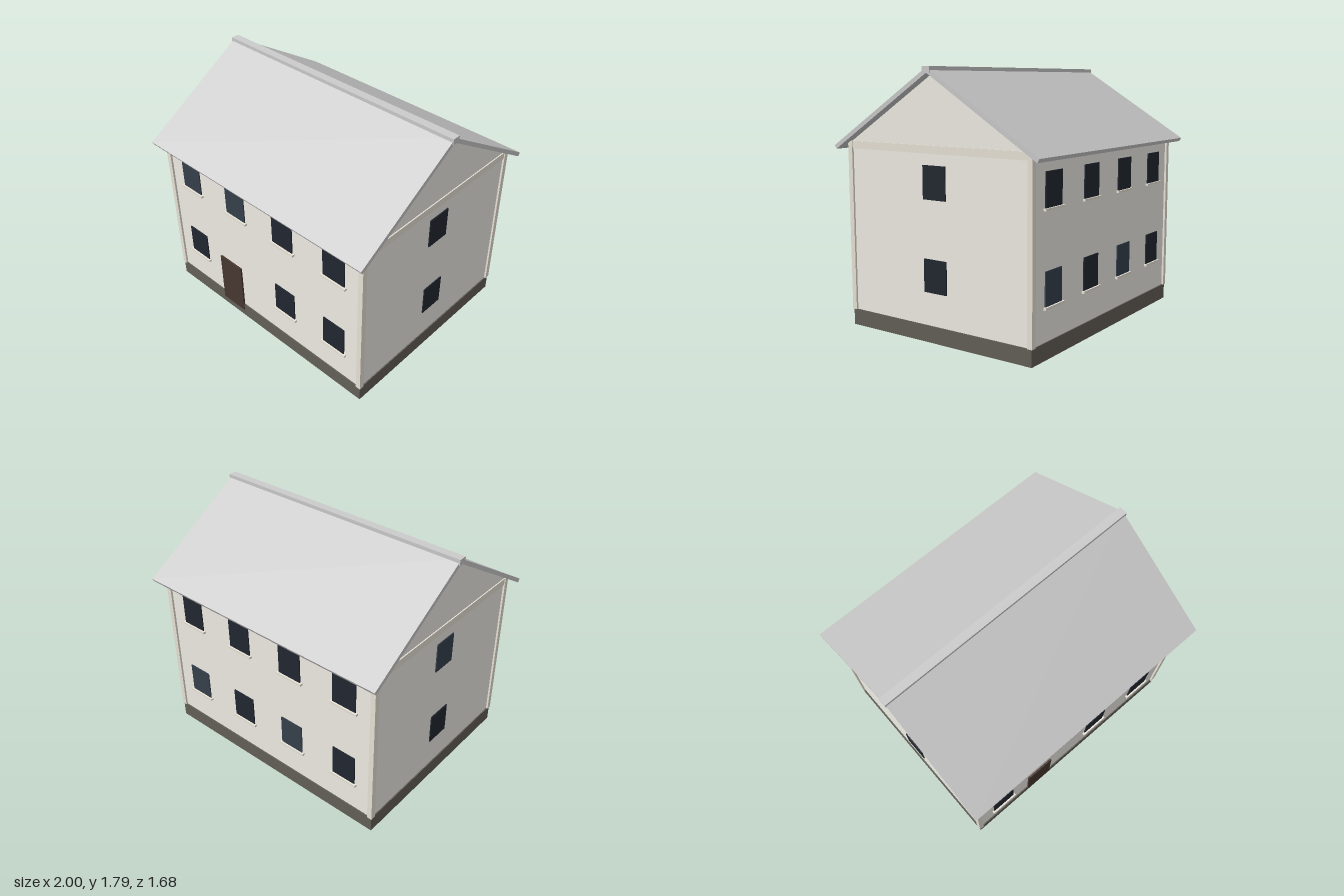
import * as THREE from 'three';

const mat = (color) => new THREE.MeshStandardMaterial({ color });

export function createModel() {
  const house = new THREE.Group();
  house.name = 'house';
  const wallMat = mat(0xf0eee6), trimMat = mat(0xeae4d8), plinthMat = mat(0x646059);
  const roofMat = mat(0xcccccc), doorMat = mat(0x483730);
  const darkGlass = mat(0x222730), paleGlass = mat(0x36414c);

  const add = (name, geometry, material) => {
    const mesh = new THREE.Mesh(geometry, material);
    mesh.name = name;
    house.add(mesh);
    return mesh;
  };
  const box = (name, material, w, h, d, x, y, z) =>
    add(name, new THREE.BoxGeometry(w, h, d), material).position.set(x, y, z);

  // Extrudes a [z, y] profile along x, centred
  const alongX = (name, material, points, length) => {
    const shape = new THREE.Shape(points.map(([z, y]) => new THREE.Vector2(z, y)));
    const geometry = new THREE.ExtrudeGeometry(shape, { depth: length, bevelEnabled: false });
    geometry.translate(0, 0, -length / 2).rotateY(Math.PI / 2);
    add(name, geometry, material);
  };

  const wallX = 0.93, wallZ = 0.745;

  // Base and walls with gables
  box('plinth', plinthMat, 1.876, 0.113, 1.506, 0, 0.0565, 0);
  alongX('walls', wallMat,
    [[-wallZ, 0.1], [wallZ, 0.1], [wallZ, 1.29], [0, 1.752], [-wallZ, 1.29]], wallX * 2);

  // Roof slabs joined at the top, and ridge cap
  alongX('roof', roofMat,
    [[0, 1.787], [-0.839, 1.267], [-0.824, 1.242], [0, 1.753], [0.824, 1.242], [0.839, 1.267]], 1.986);
  box('ridgeCap', roofMat, 2, 0.042, 0.06, 0, 1.773, 0);

  // Corner posts and the bands below the roof
  for (const s of [-1, 1]) {
    for (const t of [-1, 1])
      box('cornerPost', trimMat, 0.037, 1.185, 0.037, s * 0.9255, 0.7055, t * 0.7415);
    box('gableBand', trimMat, 0.02, 0.052, 1.47, s * 0.928, 1.272, 0);
    box('eavesBand', trimMat, 1.84, 0.044, 0.02, 0, 1.268, s * 0.743);
  }

  // Windows and sills on the long walls; paler panes are listed by side, floor and column
  const columns = [-0.693, -0.231, 0.231, 0.693], floors = [0.448, 1.06];
  const pale = ['1,1,0', '1,1,1', '-1,0,1', '-1,0,3'];
  for (const side of [1, -1]) {
    floors.forEach((y, f) => columns.forEach((x, c) => {
      if (side === 1 && f === 0 && c === 1) return; // door bay
      const glass = pale.includes(`${side},${f},${c}`) ? paleGlass : darkGlass;
      box('window', glass, 0.186, 0.222, 0.02, x, y, side * 0.743);
      box('windowSill', trimMat, 0.217, 0.016, 0.03, x, y - 0.119, side * 0.75);
    }));
    // Gable windows
    floors.forEach((y, f) => {
      const glass = side === -1 && f === 1 ? paleGlass : darkGlass;
      box('gableWindow', glass, 0.02, 0.222, 0.186, side * 0.928, y, 0);
    });
  }

  // Front door
  box('door', doorMat, 0.222, 0.412, 0.03, -0.335, 0.262, 0.743);

  return house;
}
